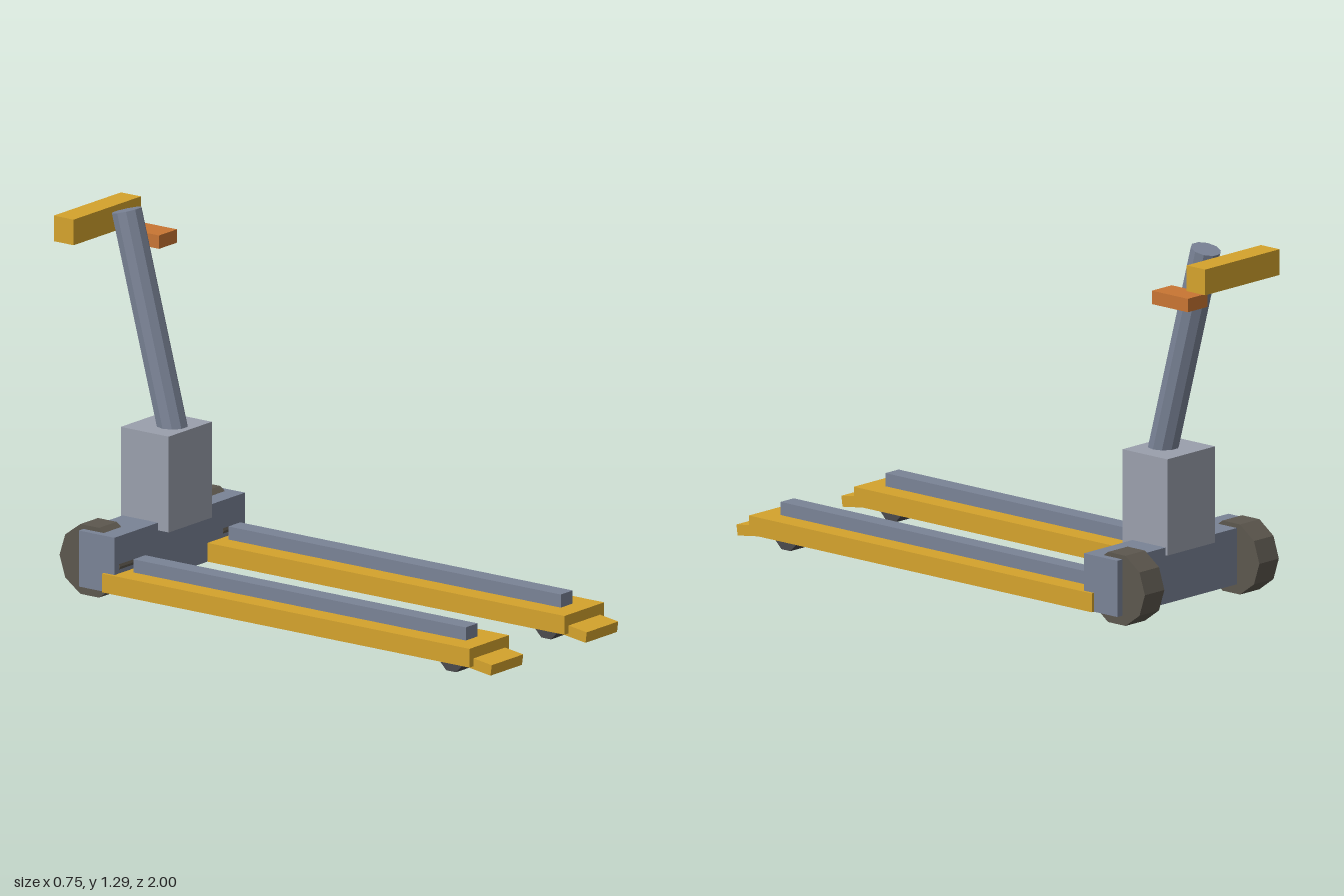
import * as THREE from 'three';

const paint = (color) => new THREE.MeshStandardMaterial({ color, flatShading: true });

export function createModel() {
  const model = new THREE.Group();
  model.name = 'palletTruck';
  const yellow = paint(0xd4a32c), steel = paint(0x7a8396), pale = paint(0x9a9fac);
  const rubber = paint(0x5c574e), roller = paint(0x4a4a4c), orange = paint(0xc87533);

  const add = (name, geometry, material, x, y, z) => {
    const mesh = new THREE.Mesh(geometry, material);
    mesh.name = name;
    mesh.position.set(x, y, z);
    model.add(mesh);
    return mesh;
  };
  // Box given by its lower and upper limits on each axis
  const box = (name, material, [x0, x1], [y0, y1], [z0, z1]) =>
    add(name, new THREE.BoxGeometry(x1 - x0, y1 - y0, z1 - z0), material,
      (x0 + x1) / 2, (y0 + y1) / 2, (z0 + z1) / 2);
  // Wheel with its axle along x
  const wheel = (name, material, radius, width, sides, turn, x, y, z) => {
    const geometry = new THREE.CylinderGeometry(radius, radius, width, sides);
    geometry.rotateY(turn).rotateZ(Math.PI / 2);
    return add(name, geometry, material, x, y, z);
  };

  // Chassis and drive housing
  box('chassis', steel, [-0.363, 0.363], [0.045, 0.242], [-0.757, -0.605]);
  box('housing', pale, [-0.12, 0.12], [0.215, 0.552], [-0.765, -0.56]);

  // Forks, rails and wheels, mirrored
  for (const [s, side] of [[1, 'left'], [-1, 'right']]) {
    const cx = s * 0.264;
    box(side + 'Fork', yellow, [cx - 0.11, cx + 0.11], [0.045, 0.111], [-0.65, 0.922]);
    box(side + 'ForkRail', steel, [cx - 0.033, cx + 0.033], [0.1, 0.157], [-0.575, 0.847]);
    const tip = add(side + 'ForkTip', new THREE.BoxGeometry(0.175, 0.038, 0.16), yellow,
      cx, 0.054, 0.918);
    tip.rotation.x = 0.14;
    wheel(side + 'LoadRoller', roller, 0.054, 0.112, 8, Math.PI / 8, cx, 0.05, 0.802);
    wheel(side + 'DriveWheel', rubber, 0.129, 0.098, 10, 0, s * 0.288, 0.134, -0.731);
  }

  // Leaning ten-sided steering mast
  const mastGeometry = new THREE.CylinderGeometry(0.053, 0.053, 0.85, 10);
  mastGeometry.rotateY(Math.PI / 2).translate(0, -0.425, 0);
  const mast = add('mast', mastGeometry, steel, 0, 1.277, -0.832);
  mast.rotation.x = -Math.PI / 12;

  // Handle bar and control lever
  box('handle', yellow, [-0.187, 0.187], [1.18, 1.27], [-1, -0.915]);
  box('controlLever', orange, [0.125, 0.225], [1.12, 1.167], [-0.955, -0.79]);

  return model;
}
